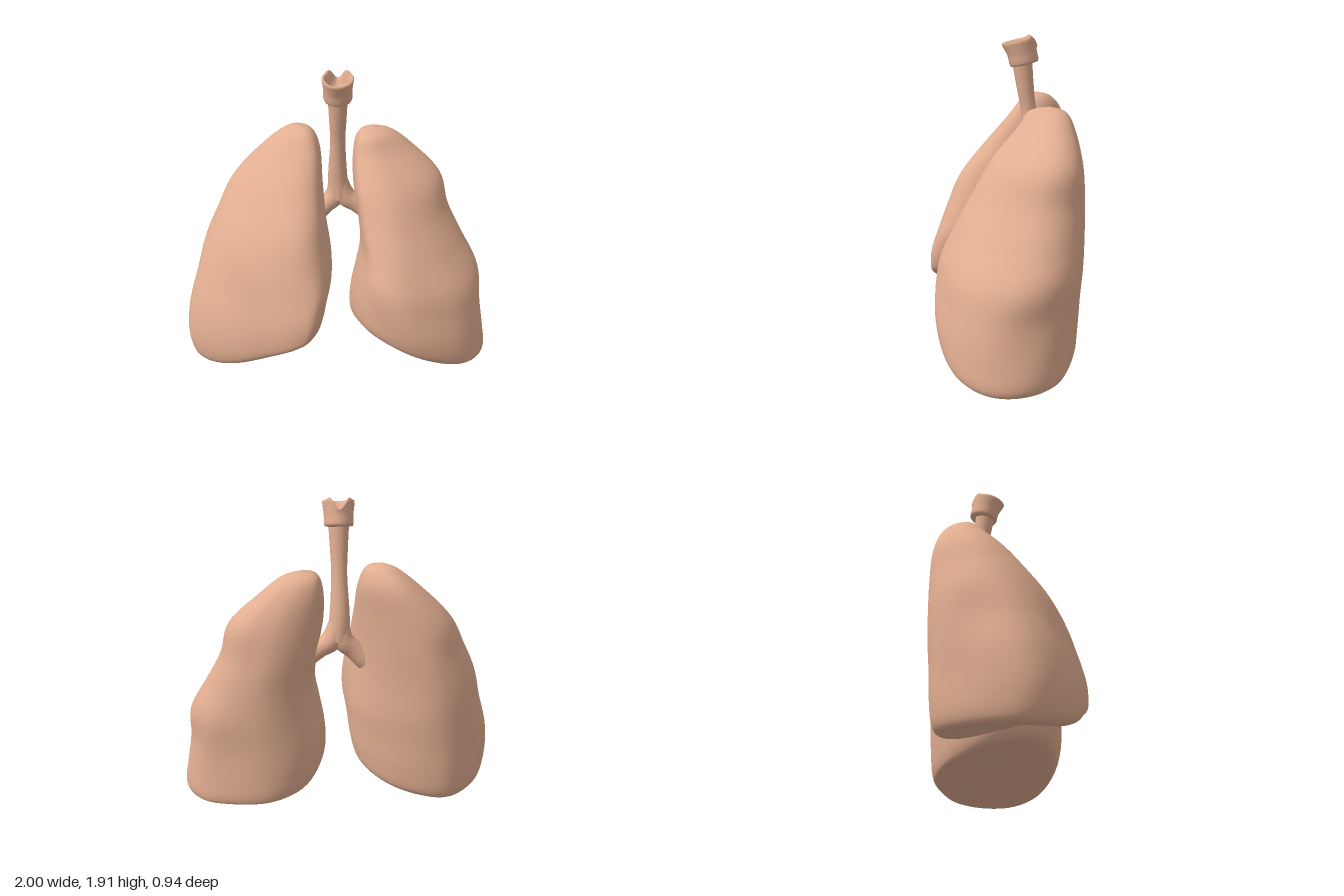
import * as THREE from 'three';

const material = new THREE.MeshStandardMaterial({ color: 0xe2ae91, side: THREE.DoubleSide });

// Smooth surface from closed loops: point(t, s) gives the vertex at t along and s around
function loft(name, rings, cols, point) {
  const pos = [], index = [];
  for (let i = 0; i < rings; i++)
    for (let j = 0; j < cols; j++) pos.push(...point(i / (rings - 1), j / cols));
  for (let i = 0; i < rings - 1; i++)
    for (let j = 0; j < cols; j++) {
      const k = (j + 1) % cols, a = i * cols + j, b = i * cols + k;
      index.push(a, b, b + cols, a, b + cols, a + cols);
    }
  const g = new THREE.BufferGeometry();
  g.setAttribute('position', new THREE.Float32BufferAttribute(pos, 3));
  g.setIndex(index);
  g.computeVertexNormals();
  const mesh = new THREE.Mesh(g, material);
  mesh.name = name;
  return mesh;
}

// Lung: rows are [y, xMin, xMax, zMin, zMax]; low and high are closed outlines in 0..1
function lung(name, side, rows, low, high) {
  const spline = (pts, closed) => new THREE.CatmullRomCurve3(pts, closed, 'catmullrom', 0.5);
  const outline = pts => spline(pts.map(([u, w]) => new THREE.Vector3(u, 0, w)), true);
  const xs = spline(rows.map(r => new THREE.Vector3(r[1], r[0], r[2])));
  const zs = spline(rows.map(r => new THREE.Vector3(r[3], 0, r[4])));
  const lowLine = outline(low), highLine = outline(high);
  return loft(name, 85, 80, (t, s) => {
    const a = xs.getPoint(t), b = zs.getPoint(t);
    const o = lowLine.getPoint(s).lerp(highLine.getPoint(s), THREE.MathUtils.smoothstep(a.y, 0.2, 0.95));
    let x = a.x + (a.z - a.x) * o.x;
    let z = b.x + (b.z - b.x) * o.z;
    // sloping underside, highest at the inner front
    const inner = THREE.MathUtils.clamp(1 - (side * x - 0.08) / 0.9, 0, 1);
    const front = THREE.MathUtils.clamp((z + 0.45) / 0.87, 0, 1);
    const fade = Math.max(0, 1 - a.y) ** 2;
    const y = Math.max(0, a.y + Math.pow(inner, 1.3) * (0.11 + 0.28 * front) * fade);
    // gentle lumps on the outer and front faces
    const lump = 0.01 * Math.sin(9 * y + 5 * x) * Math.sin(11 * x * side + 4 * y + 7 * z) * Math.sin(Math.PI * t);
    x += side * lump * (1 - inner);
    z += lump * front * 1.3;
    return [x, y, z];
  });
}

// Airway: round tube of changing radius along a path lying near the x-y plane
function airway(name, points, radii) {
  const path = new THREE.CatmullRomCurve3(points.map(p => new THREE.Vector3(...p)));
  const radius = new THREE.SplineCurve(radii.map((r, i) => new THREE.Vector2(i, r)));
  return loft(name, 30, 24, (t, s) => {
    const p = path.getPoint(t), tan = path.getTangent(t), r = radius.getPoint(t).y;
    const across = new THREE.Vector3().crossVectors(tan, new THREE.Vector3(0, 0, 1)).normalize();
    const depth = new THREE.Vector3().crossVectors(across, tan);
    const a = s * Math.PI * 2;
    p.addScaledVector(across, r * Math.cos(a)).addScaledVector(depth, -r * Math.sin(a));
    return [p.x, p.y, p.z];
  });
}

// Larynx: open cup with a notch at the back of the rim
function larynx() {
  const profile = [[0.055, -0.02], [0.082, -0.015], [0.088, 0], [0.087, 0.03], [0.088, 0.06],
    [0.095, 0.115], [0.096, 0.13], [0.088, 0.136], [0.078, 0.127], [0.062, 0.08], [0.045, 0.045], [0, 0.03]];
  const cup = loft('larynx', profile.length, 40, (t, s) => {
    const [r, h] = profile[Math.round(t * (profile.length - 1))];
    const a = s * Math.PI * 2, x = Math.cos(a), z = -Math.sin(a);
    const off = Math.atan2(x, -z);
    const rim = Math.max(0, (h - 0.07) / 0.065);
    const notch = rim * (0.012 * Math.exp(-((Math.abs(off) - 0.7) ** 2) / 0.06) - 0.06 * Math.exp(-((off / 0.35) ** 2)));
    const lip = z > 0 ? 1 + 0.15 * z * rim : 1 + 0.08 * z * z;
    return [r * x, h + notch, r * z * lip];
  });
  cup.position.set(0, 1.758, -0.13);
  cup.rotation.x = 0.22;
  return cup;
}

export function createModel() {
  const model = new THREE.Group();
  model.name = 'lungs';

  model.add(lung('leftLung', 1, [
    [0.05, 0.5, 0.5, -0.02, -0.02],
    [0.02, 0.26, 0.82, -0.28, 0.23],
    [0.0, 0.14, 0.94, -0.385, 0.33],
    [0.05, 0.1, 0.99, -0.42, 0.39],
    [0.2, 0.085, 0.98, -0.435, 0.415],
    [0.4, 0.095, 0.95, -0.445, 0.415],
    [0.6, 0.125, 0.925, -0.455, 0.39],
    [0.8, 0.155, 0.815, -0.46, 0.305],
    [1.0, 0.135, 0.72, -0.465, 0.2],
    [1.2, 0.105, 0.665, -0.455, 0.08],
    [1.38, 0.105, 0.48, -0.42, -0.08],
    [1.48, 0.135, 0.35, -0.37, -0.15],
    [1.513, 0.23, 0.23, -0.27, -0.27],
  ],
  [[1, 0.52], [0.945, 0.29], [0.78, 0.12], [0.42, 0], [0.14, 0.1], [0, 0.38],
    [0.03, 0.64], [0.16, 0.88], [0.42, 1], [0.75, 0.91], [0.94, 0.73]],
  [[1, 0.43], [0.96, 0.22], [0.78, 0.06], [0.45, 0], [0.13, 0.12], [0, 0.4],
    [0, 0.68], [0.08, 0.92], [0.34, 1], [0.65, 0.87], [0.88, 0.67]]));

  model.add(lung('rightLung', -1, [
    [0.05, -0.52, -0.52, 0, 0],
    [0.02, -0.82, -0.28, -0.26, 0.26],
    [0.0, -0.92, -0.17, -0.36, 0.38],
    [0.05, -0.98, -0.11, -0.41, 0.45],
    [0.2, -1.0, -0.085, -0.43, 0.465],
    [0.4, -0.98, -0.065, -0.44, 0.46],
    [0.6, -0.925, -0.04, -0.455, 0.42],
    [0.8, -0.87, -0.045, -0.46, 0.35],
    [1.0, -0.775, -0.075, -0.46, 0.26],
    [1.2, -0.68, -0.095, -0.45, 0.11],
    [1.4, -0.48, -0.11, -0.41, -0.05],
    [1.51, -0.34, -0.155, -0.33, -0.14],
    [1.545, -0.24, -0.24, -0.23, -0.23],
  ],
  [[1, 0.6], [0.97, 0.28], [0.74, 0.07], [0.4, 0], [0.17, 0.17], [0, 0.5],
    [0.1, 0.73], [0.4, 0.9], [0.8, 1], [0.95, 0.94]],
  [[1, 0.6], [0.9, 0.3], [0.66, 0.09], [0.36, 0], [0.12, 0.13], [0, 0.41],
    [0.08, 0.65], [0.33, 0.86], [0.7, 1], [0.93, 0.91]]));

  // windpipe and its two branches
  model.add(airway('trachea',
    [[0.01, 1.06, -0.2], [0, 1.2, -0.195], [0, 1.45, -0.165], [0, 1.62, -0.14], [0, 1.78, -0.12]],
    [0.068, 0.062, 0.048, 0.054, 0.062]));
  model.add(airway('leftBronchus',
    [[0.22, 0.94, -0.19], [0.12, 1.01, -0.195], [0.05, 1.06, -0.2], [0, 1.2, -0.196]],
    [0.065, 0.06, 0.066, 0.055]));
  model.add(airway('rightBronchus',
    [[-0.16, 0.92, -0.19], [-0.08, 1.0, -0.195], [-0.02, 1.06, -0.2], [0, 1.2, -0.196]],
    [0.065, 0.06, 0.064, 0.055]));
  model.add(larynx());
  return model;
}
